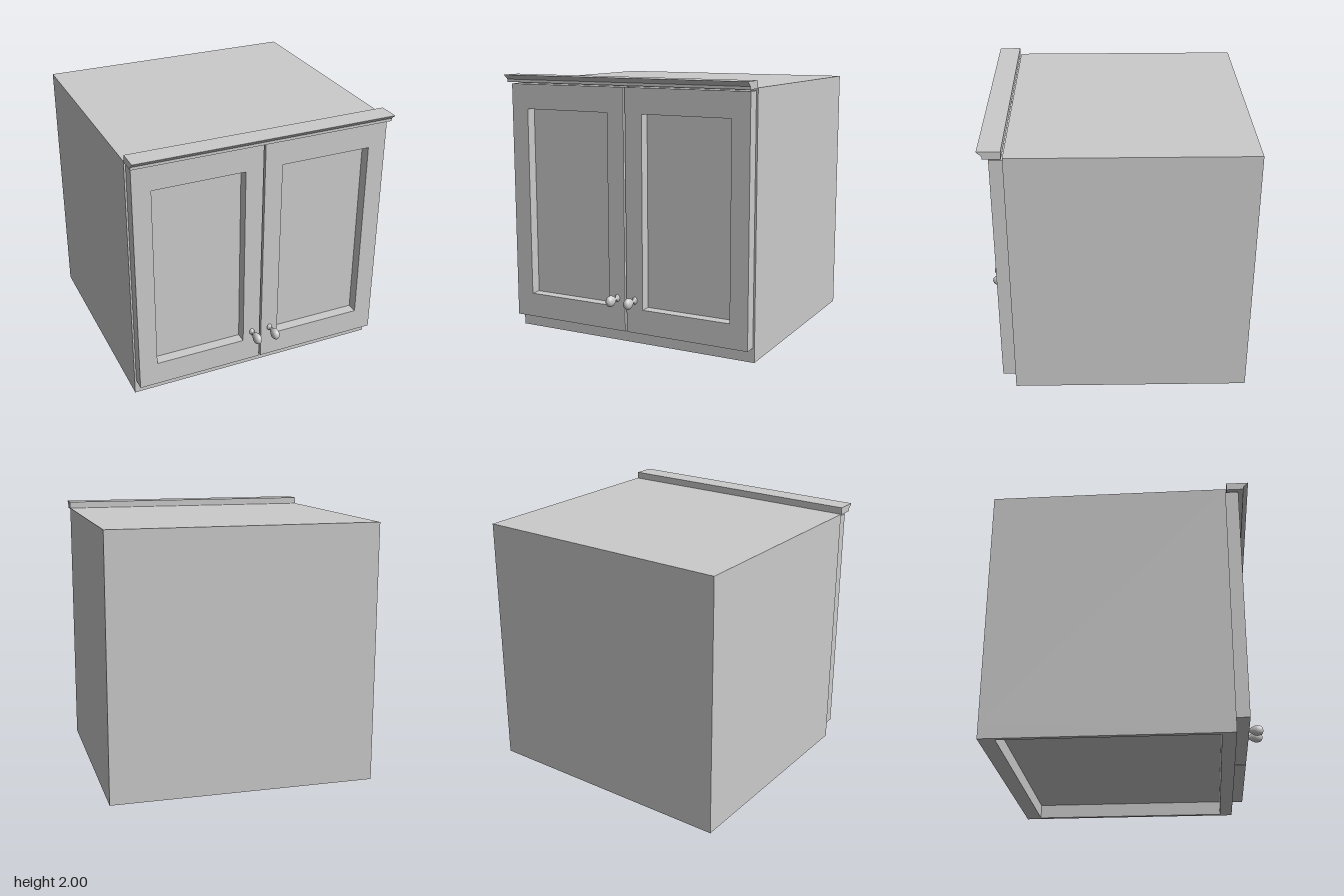
import * as THREE from 'three';

const grey = new THREE.MeshStandardMaterial({ color: 0xcccccc });

function add(parent, name, geometry, x = 0, y = 0, z = 0) {
  const mesh = new THREE.Mesh(geometry, grey);
  mesh.name = name;
  mesh.position.set(x, y, z);
  parent.add(mesh);
  return mesh;
}

function rectPoints(x0, y0, x1, y1) {
  return [[x0, y0], [x1, y0], [x1, y1], [x0, y1]].map(p => new THREE.Vector2(...p));
}

// Rectangular frame with a rectangular opening, extruded along +z
function frameGeometry(outer, inner, depth) {
  const shape = new THREE.Shape(rectPoints(...outer));
  shape.holes.push(new THREE.Path(rectPoints(...inner).reverse()));
  return new THREE.ExtrudeGeometry(shape, { depth, bevelEnabled: false });
}

// Turned knob with a foot, thin neck and oval bulb
function knobGeometry() {
  const control = [
    [0.024, 0.012], [0.014, 0.018], [0.012, 0.028], [0.017, 0.04], [0.028, 0.058],
    [0.038, 0.078], [0.042, 0.098], [0.037, 0.122], [0.023, 0.138], [0.0, 0.145],
  ].map(p => new THREE.Vector2(...p));
  const curve = new THREE.SplineCurve(control).getPoints(36);
  curve.forEach(p => { p.x = Math.max(p.x, 0); });
  const profile = [new THREE.Vector2(0.027, 0), new THREE.Vector2(0.027, 0.008), ...curve];
  return new THREE.LatheGeometry(profile, 32).rotateX(Math.PI / 2).scale(0.74, 1, 1);
}

export function createModel() {
  const model = new THREE.Group();
  model.name = 'wallCabinet';
  const front = 0.76;
  const recess = 0.11;

  // Carcass, with an open recess underneath
  const carcass = new THREE.Group();
  carcass.name = 'carcass';
  model.add(carcass);
  add(carcass, 'cabinetBox', new THREE.BoxGeometry(2, 1.95 - recess, 1.76),
    0, (1.95 + recess) / 2, -0.12);
  add(carcass, 'bottomRim',
    frameGeometry([-1, -front, 1, 1], [-0.965, -0.66, 0.965, 0.88], recess).rotateX(-Math.PI / 2));

  // Pair of framed doors with sunken panels and knobs
  for (const side of [-1, 1]) {
    const door = new THREE.Group();
    door.name = side > 0 ? 'leftDoor' : 'rightDoor';
    model.add(door);
    const span = (a, b) => (side > 0 ? [a, b] : [-b, -a]);
    const [ox0, ox1] = span(0.007, 0.987);
    const [ix0, ix1] = span(0.144, 0.847);
    add(door, 'doorFrame',
      frameGeometry([ox0, 0.11, ox1, 1.93], [ix0, 0.295, ix1, 1.742], 0.095), 0, 0, front);
    add(door, 'doorPanel', new THREE.BoxGeometry(ix1 - ix0, 1.447, 0.012),
      (ix0 + ix1) / 2, 1.0185, front + 0.006);
    add(door, 'knob', knobGeometry(), side * 0.075 + 0.003, 0.36, 0.855);
  }

  // Crown moulding along the top front, profile in (-z, y)
  const crown = new THREE.Shape([
    [-0.768, 1.944], [-0.768, 2], [-0.932, 2], [-0.93, 1.995], [-0.902, 1.972],
    [-0.895, 1.965], [-0.895, 1.944],
  ].map(p => new THREE.Vector2(...p)));
  const crownGeometry = new THREE.ExtrudeGeometry(crown, { depth: 2, bevelEnabled: false })
    .translate(0, 0, -1).rotateY(Math.PI / 2);
  add(model, 'crownMoulding', crownGeometry);

  return model;
}
